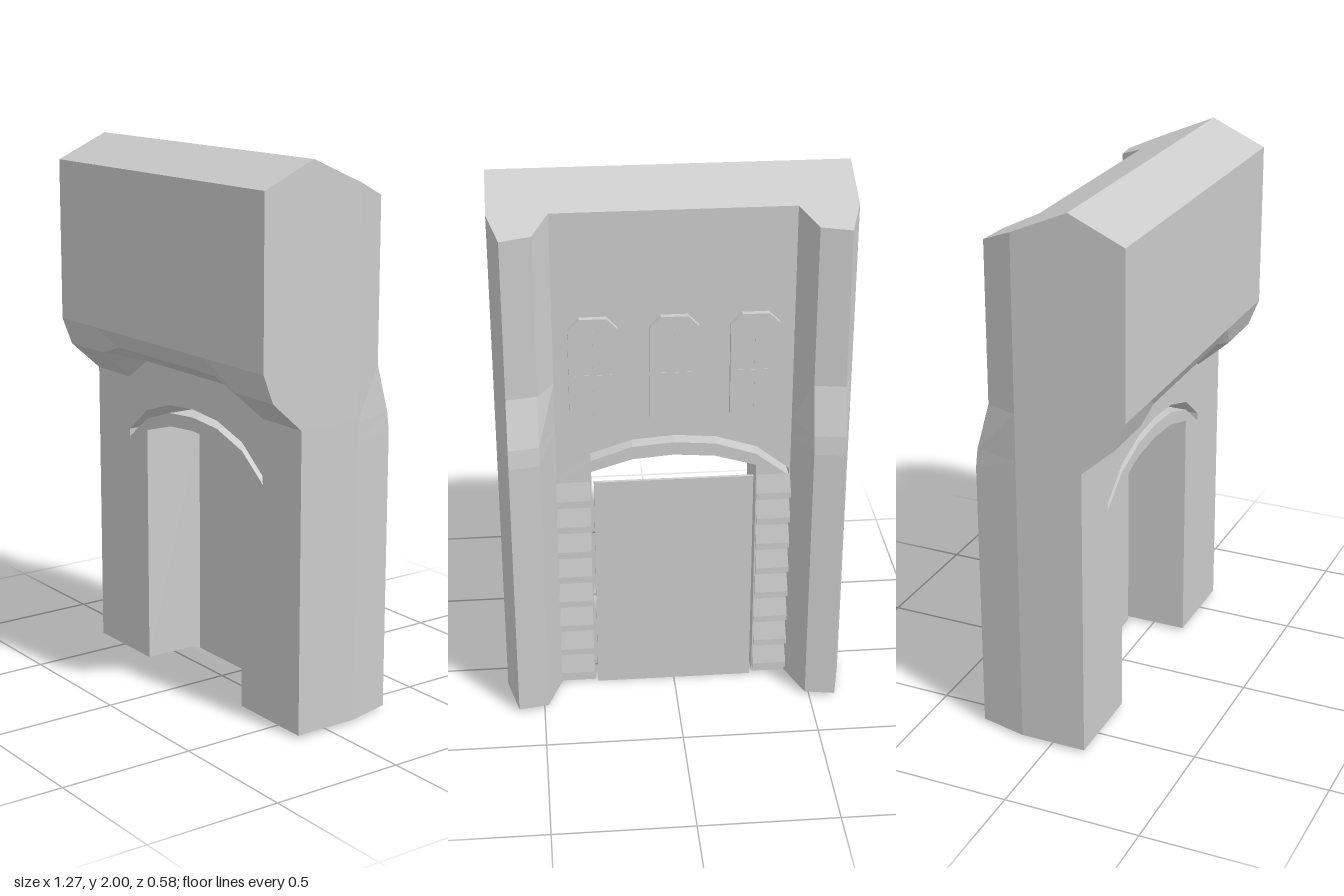
import * as THREE from 'three';

const BACK = -0.115, FRONT = 0.13, BASE = 0.01, HALF = 0.635;

// Flat-faced solid through a list of convex rings, capped at both ends.
function loft(rings) {
  const pos = [];
  const tri = (...pts) => pts.forEach(p => pos.push(...p));
  const n = rings[0].length;
  for (let r = 0; r < rings.length - 1; r++) {
    const a = rings[r], b = rings[r + 1];
    for (let i = 0; i < n; i++) {
      const j = (i + 1) % n;
      tri(a[i], a[j], b[j], a[i], b[j], b[i]);
    }
  }
  const first = rings[0], last = rings[rings.length - 1];
  for (let i = 1; i < n - 1; i++) {
    tri(first[0], first[i + 1], first[i]);
    tri(last[0], last[i], last[i + 1]);
  }
  const g = new THREE.BufferGeometry();
  g.setAttribute('position', new THREE.Float32BufferAttribute(pos, 3));
  g.computeVertexNormals();
  return g;
}

// Right half of an arch line (outer end to centre) mirrored to a full line.
const fullArch = half => [...half, ...half.slice(0, -1).reverse().map(([x, y]) => [-x, y])];
const toPoints = list => list.map(([x, y]) => new THREE.Vector2(x, y));

export function createModel() {
  const model = new THREE.Group();
  const material = new THREE.MeshStandardMaterial({ color: 0xcccccc, flatShading: true });
  const add = (name, geometry, parent = model) => {
    const mesh = new THREE.Mesh(geometry, material);
    mesh.name = name;
    parent.add(mesh);
    return mesh;
  };

  // Lower wall with arched doorway and a curved slit above it
  const opening = fullArch([[0.3, BASE], [0.3, 0.915], [0.15, 0.96], [0, 0.972]]);
  const wall = new THREE.Shape(toPoints([
    ...opening, [-HALF, BASE], [-HALF, 1.1], [-0.42, 1.1], [-0.3, 1.18],
    [0.3, 1.18], [0.42, 1.1], [HALF, 1.1], [HALF, BASE],
  ]));
  const slitTop = fullArch([[0.42, 0.897], [0.3, 0.992], [0.15, 1.04], [0, 1.052]]);
  const slitBottom = fullArch([[0.422, 0.866], [0.3, 0.96], [0.15, 1.01], [0, 1.022]]);
  wall.holes.push(new THREE.Path(toPoints([...slitTop, ...slitBottom.reverse()])));
  add('lowerWall', new THREE.ExtrudeGeometry(wall, { depth: FRONT - BACK, bevelEnabled: false }))
    .position.z = BACK;

  // Overhanging upper wall with ridged top; its underside rises over the doorway
  const stations = [[-HALF, 0], [-0.42, 0], [-0.3, 1], [0.3, 1], [0.42, 0], [HALF, 0]];
  add('upperWall', loft(stations.map(([x, rise]) => {
    const low = 1.1 + 0.08 * rise, mid = 1.207 + 0.038 * rise;
    return [[BACK, low], [BACK, 1.91], [0.09, 2], [0.29, 1.91], [0.29, 1.31], [0.25, mid], [FRONT, low]]
      .map(([z, y]) => [x, y, z]);
  })));

  // Door panel set near the back of the opening
  const door = add('door', new THREE.BoxGeometry(0.582, 0.87, 0.012));
  door.position.set(0, 0.435, BACK + 0.006);

  // Tapered rear buttresses: [height, depth of the rear face]; null height follows the roof slope
  const levels = [[BASE, -0.288], [1.03, -0.288], [1.1, -0.28], [1.275, -0.232], [null, -0.232]];
  const roofY = z => 1.91 + (z - BACK) * 0.435;
  for (const side of [1, -1]) {
    const label = side > 0 ? 'left' : 'right';
    const mirror = ring => side > 0 ? ring : ring.map(([x, y, z]) => [-x, y, z]).reverse();
    add(label + 'Buttress', loft(levels.map(([y, z]) => mirror(
      [[0.425, BACK], [HALF, BACK], [0.595, z], [0.485, z + 0.019]]
        .map(([px, pz]) => [px, y ?? roofY(pz), pz])))));

    // Overlapping slats beside the door
    const slats = new THREE.Group();
    slats.name = label + 'Slats';
    model.add(slats);
    for (let i = 0; i < 8; i++) {
      const y = 0.03 + i * 0.107;
      const ring = x => [[BACK, y], [-0.127, y], [-0.127, y + 0.022], [BACK, y + 0.095]]
        .map(([z, py]) => [x, py, z]);
      const ends = side > 0 ? [0.305, 0.43] : [-0.43, -0.305];
      add('slat', loft(ends.map(ring)), slats);
    }
  }

  // Three chamfered panels on the back with thin raised seams
  const w = 0.0875, h = 0.215, c = 0.04;
  const outline = new THREE.Shape(toPoints([
    [w, h - c], [w - c, h], [c - w, h], [-w, h - c],
    [-w, c - h], [c - w, -h], [w - c, -h], [w, c - h],
  ]));
  for (const x of [-0.285, 0, 0.285]) {
    const panel = new THREE.Group();
    panel.name = 'rearPanel';
    panel.position.set(x, 1.31, -0.137);
    model.add(panel);
    add('plate', new THREE.ExtrudeGeometry(outline, { depth: 0.022, bevelEnabled: false }), panel);
    add('uprightSeam', new THREE.BoxGeometry(0.004, 0.34, 0.003), panel);
    add('crossSeam', new THREE.BoxGeometry(0.13, 0.004, 0.003), panel);
  }
  return model;
}
